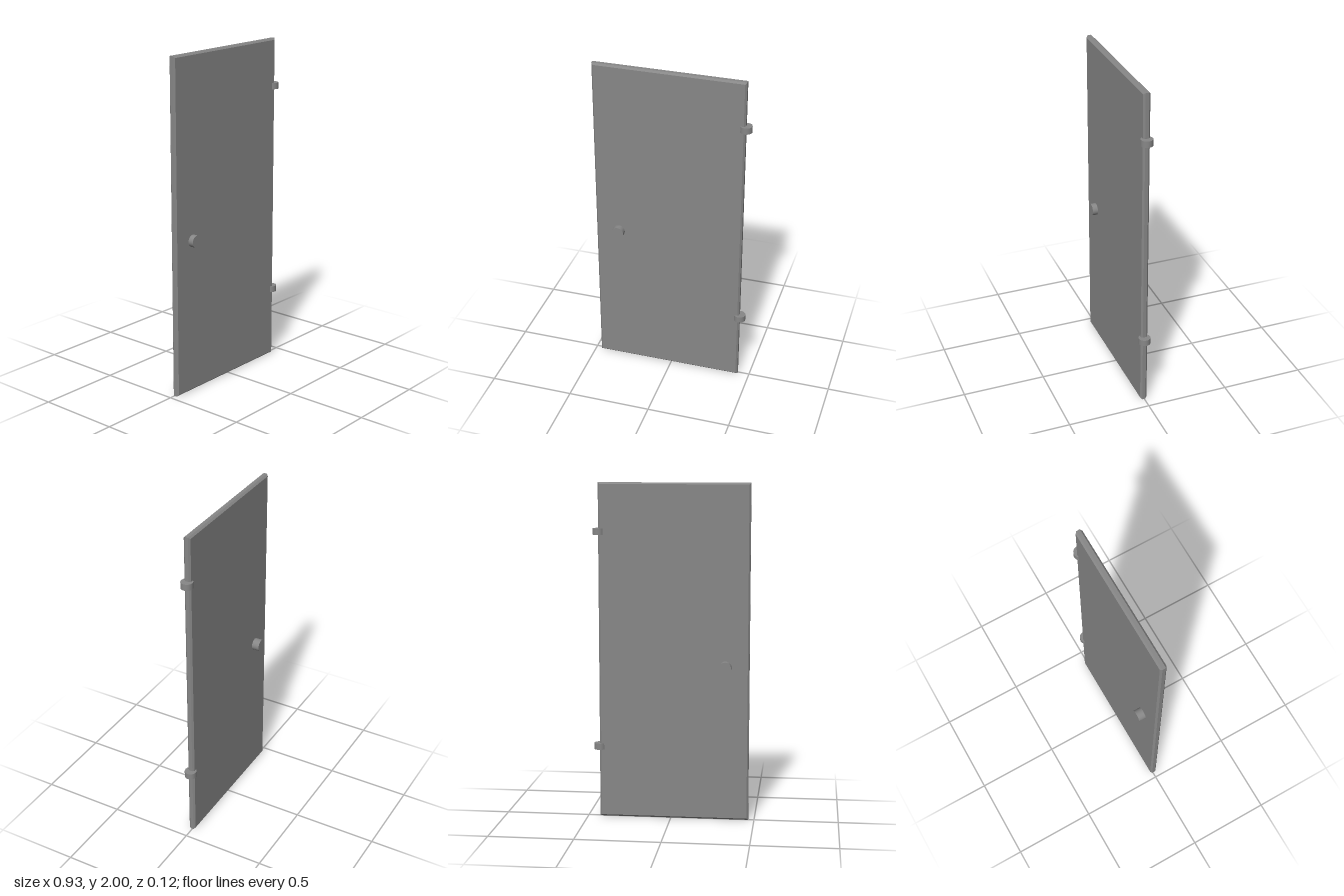
import * as THREE from 'three';

const flat = new THREE.MeshStandardMaterial({ color: 0x878787, flatShading: true });
const smooth = new THREE.MeshStandardMaterial({ color: 0x878787 });

function add(parent, name, geometry, mat, x, y, z) {
  const mesh = new THREE.Mesh(geometry, mat);
  mesh.name = name;
  mesh.position.set(x, y, z);
  parent.add(mesh);
  return mesh;
}

// Upright slab with chamfered front and back edges
function chamferedSlab(width, height, depth, chamfer) {
  const w = width / 2 - chamfer, h = height / 2 - chamfer;
  const shape = new THREE.Shape([
    new THREE.Vector2(-w, -h), new THREE.Vector2(w, -h),
    new THREE.Vector2(w, h), new THREE.Vector2(-w, h),
  ]);
  const geometry = new THREE.ExtrudeGeometry(shape, {
    depth: depth - 2 * chamfer, bevelEnabled: true, bevelSegments: 1,
    bevelSize: chamfer, bevelThickness: chamfer,
  });
  return geometry.center();
}

export function createModel() {
  const door = new THREE.Group();
  door.name = 'door';

  // Door leaf, standing very slightly ajar around its hinges
  const leaf = new THREE.Group();
  leaf.name = 'doorLeaf';
  leaf.position.set(0.428, 0, 0.003);
  leaf.rotation.y = 0.003;
  door.add(leaf);
  add(leaf, 'panel', chamferedSlab(0.893, 2, 0.041, 0.01), flat, -0.4465, 1, 0);

  // Round knob running through the panel to both sides
  const knob = add(leaf, 'knob', new THREE.CylinderGeometry(0.036, 0.036, 0.118, 32), smooth, -0.752, 0.924, -0.006);
  knob.rotation.x = Math.PI / 2;

  // Hinge barrels
  for (const [name, y] of [['lowerHinge', 0.43], ['upperHinge', 1.715]]) {
    add(door, name, new THREE.CylinderGeometry(0.035, 0.035, 0.038, 32), smooth, 0.428, y, 0.004);
  }
  return door;
}
